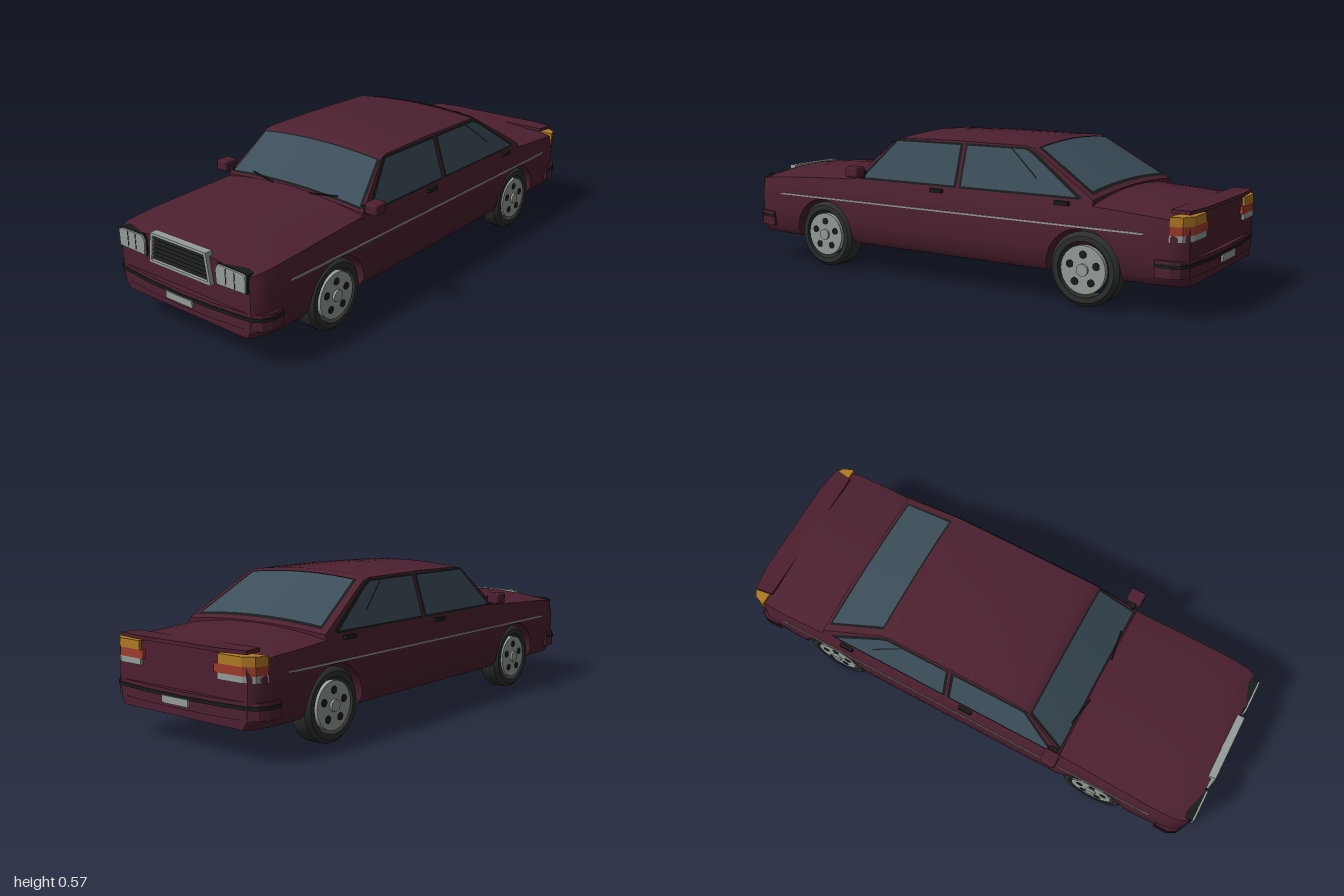
import * as THREE from 'three';
import { toCreasedNormals } from 'three/addons/utils/BufferGeometryUtils.js';
import { RoundedBoxGeometry } from 'three/addons/geometries/RoundedBoxGeometry.js';

const mat = (name, color, side = THREE.FrontSide) => {
  const m = new THREE.MeshStandardMaterial({ color, side });
  m.name = name;
  return m;
};

// Piecewise linear lookup in [[key, value], ...] with rising keys
function lerpTable(t, k) {
  if (k <= t[0][0]) return t[0][1];
  for (let i = 1; i < t.length; i++) {
    const [k0, v0] = t[i - 1], [k1, v1] = t[i];
    if (k <= k1) return v0 + (v1 - v0) * (k - k0) / (k1 - k0);
  }
  return t[t.length - 1][1];
}

// Skin over half-sections (bottom to top centre, +x side), mirrored, from front to back
function loft(stations, halfSection) {
  const rings = stations.map(z => {
    const h = halfSection(z);
    return [...h, ...h.slice().reverse().map(([x, y]) => [-x, y])].map(([x, y]) => [x, y, z]);
  });
  const n = rings[0].length, pos = [];
  const quad = (a, b, c, d) => pos.push(...a, ...b, ...c, ...a, ...c, ...d);
  for (let k = 0; k + 1 < rings.length; k++) for (let i = 0; i < n; i++) {
    const j = (i + 1) % n, A = rings[k], B = rings[k + 1];
    quad(A[i], B[i], B[j], A[j]);
  }
  const F = rings[0], R = rings[rings.length - 1];
  for (let i = 0; i + 1 < n / 2; i++) {
    quad(F[i], F[i + 1], F[n - 2 - i], F[n - 1 - i]);
    quad(R[n - 1 - i], R[n - 2 - i], R[i + 1], R[i]);
  }
  const g = new THREE.BufferGeometry();
  g.setAttribute('position', new THREE.Float32BufferAttribute(pos, 3));
  return toCreasedNormals(g, 0.5);
}

// Lower body rules
const AXLES = [0.592, -0.6], AXLE_Y = 0.134, ARCH = 0.146;
const WIDTH = [[0, 1], [0.8, 1], [0.87, 0.99], [0.925, 0.975], [0.955, 0.935], [0.974, 0.88]];
const SIDE = [[0.113, 0.333], [0.14, 0.352], [0.2, 0.359], [0.28, 0.36], [0.34, 0.35], [0.38, 0.335]];
const DECK = [[-0.974, 0.362], [-0.9, 0.373], [-0.65, 0.39], [-0.5, 0.4], [0.3, 0.41], [0.43, 0.407], [0.8, 0.388], [0.94, 0.377], [0.974, 0.366]];
function bodySection(z) {
  const w = lerpTable(WIDTH, Math.abs(z));
  let bottom = 0.113;
  for (const a of AXLES) {
    const d = Math.abs(z - a);
    if (d < ARCH + 1e-4) bottom = AXLE_Y + Math.sqrt(Math.max(0, ARCH * ARCH - d * d));
  }
  const top = lerpTable(DECK, z), shoulder = top - 0.032;
  const pts = [bottom, 0.14, 0.2, 0.28, 0.32, shoulder].map(l => {
    const y = Math.max(l, bottom);
    return [lerpTable(SIDE, y) * w, y];
  });
  const xs = pts[5][0];
  for (const f of [0.94, 0.8, 0.6, 0.3, 0]) pts.push([xs * f, shoulder + 0.032 * (1 - f * f)]);
  return pts;
}

// Cabin rules
const EDGE = [[-0.63, 0.378], [-0.37, 0.535], [-0.335, 0.545], [0, 0.548], [0.235, 0.544], [0.265, 0.535], [0.43, 0.385]];
const CROWN = 0.018;
const cabinX = y => 0.335 - 0.05 * (y - 0.385) / 0.16;
function cabinSection(z) {
  const e = lerpTable(EDGE, z), w = cabinX(e);
  const pts = [[cabinX(0.36), 0.36], [w, e]];
  for (const f of [0.96, 0.75, 0.5, 0.25, 0]) pts.push([w * f, e + CROWN * (1 - f * f)]);
  return pts;
}
const cabinTop = (x, z) => {
  const e = lerpTable(EDGE, z), f = x / cabinX(e);
  return e + CROWN * (1 - f * f);
};

// Glass sheet following the cabin's sloped ends
function screenGeometry(zA, xA, zB, xB, lift) {
  const g = new THREE.PlaneGeometry(2, 1, 10, 2), p = g.attributes.position;
  for (let i = 0; i < p.count; i++) {
    const v = p.getY(i) + 0.5;
    const z = zB + (zA - zB) * v, x = p.getX(i) * (xB + (xA - xB) * v);
    p.setXYZ(i, x, cabinTop(x, z) + lift, z);
  }
  g.computeVertexNormals();
  return g;
}

// Flat (z, y) outline laid on the leaning cabin side
function sideGeometry(outline, s, lift) {
  const g = new THREE.ShapeGeometry(new THREE.Shape(outline.map(([z, y]) => new THREE.Vector2(-s * z, y))));
  const p = g.attributes.position;
  for (let i = 0; i < p.count; i++) {
    const y = p.getY(i);
    p.setXYZ(i, s * (cabinX(y) + lift), y, -s * p.getX(i));
  }
  g.computeVertexNormals();
  return g;
}

const shapeOf = pts => new THREE.Shape(pts.map(([x, y]) => new THREE.Vector2(x, y)));
const extrude = (shape, depth) => new THREE.ExtrudeGeometry(shape, { depth, bevelEnabled: false });
// Plan outline (x, z) raised from y0 to y1
const band = (pts, y0, y1) => extrude(shapeOf(pts.map(([x, z]) => [x, -z])), y1 - y0).rotateX(-Math.PI / 2).translate(0, y0, 0);

export function createModel() {
  const paint = mat('burgundy paint', 0x4d2030), glass = mat('tinted glass', 0x3c4e5a, THREE.DoubleSide);
  const trim = mat('black trim', 0x191b1b, THREE.DoubleSide), rubber = mat('tyre rubber', 0x2d2f2f);
  const metal = mat('pale metal', 0x969e99), amber = mat('amber lens', 0xb07a24), red = mat('red lens', 0xa03c2c);
  const car = new THREE.Group();
  car.name = 'car';
  const add = (name, geo, m, parent = car) => {
    const mesh = new THREE.Mesh(geo, m);
    mesh.name = name;
    parent.add(mesh);
    return mesh;
  };
  const box = (name, m, w, h, d, x, y, z) => add(name, new THREE.BoxGeometry(w, h, d).translate(x, y, z), m);

  // Body with full-width wheel arches
  const zs = [0.974, 0.955, 0.925, 0.87, 0.8, 0.43, 0.3, 0, -0.3, -0.43, -0.8, -0.87, -0.925, -0.955, -0.974];
  for (const a of AXLES) {
    zs.push(a + ARCH + 0.0006, a - ARCH - 0.0006);
    for (let i = 0; i <= 20; i++) zs.push(a + ARCH * Math.cos(i * Math.PI / 20));
  }
  add('body', loft(zs.sort((a, b) => b - a), bodySection), paint);
  add('cabin', loft(EDGE.map(e => e[0]).reverse(), cabinSection), paint);
  add('bootLip', band([[-0.3, -0.9], [0.3, -0.9], [0.31, -0.97], [0.2, -0.985], [-0.2, -0.985], [-0.31, -0.97]], 0.355, 0.368), paint);

  // Windscreen and rear window
  add('windscreenSeal', screenGeometry(0.272, 0.288, 0.425, 0.322, 0.003), trim);
  add('windscreen', screenGeometry(0.278, 0.277, 0.42, 0.312, 0.006), glass);
  add('rearWindowSeal', screenGeometry(-0.615, 0.307, -0.372, 0.262, 0.003), trim);
  add('rearWindow', screenGeometry(-0.606, 0.297, -0.379, 0.252, 0.006), glass);

  for (const s of [1, -1]) {
    // Side windows
    add('frontWindowSeal', sideGeometry([[0.412, 0.376], [0.254, 0.541], [-0.06, 0.541], [-0.06, 0.376]], s, 0.003), trim);
    add('frontWindow', sideGeometry([[0.388, 0.385], [0.248, 0.533], [-0.05, 0.533], [-0.05, 0.385]], s, 0.006), glass);
    add('rearWindowSealSide', sideGeometry([[-0.072, 0.376], [-0.072, 0.541], [-0.343, 0.541], [-0.38, 0.523], [-0.59, 0.382], [-0.57, 0.376]], s, 0.003), trim);
    add('rearSideWindow', sideGeometry([[-0.082, 0.385], [-0.082, 0.533], [-0.335, 0.533], [-0.37, 0.516], [-0.565, 0.385]], s, 0.006), glass);
    add('quarterDivider', sideGeometry([[-0.275, 0.533], [-0.283, 0.533], [-0.4, 0.44], [-0.4, 0.433]], s, 0.008), trim);

    // Side moulding, handles and mirrors
    box('sideMoulding', metal, 0.004, 0.006, 1.66, s * 0.36, 0.286, 0);
    for (const z of [0.025, -0.515]) box('doorHandle', trim, 0.014, 0.014, 0.055, s * 0.351, 0.361, z);
    box('mirrorBracket', trim, 0.025, 0.03, 0.035, s * 0.337, 0.395, 0.4);
    add('mirror', new RoundedBoxGeometry(0.054, 0.043, 0.062, 3, 0.009).translate(s * 0.372, 0.409, 0.405), paint);

    // Wipers
    const tip = (x, y) => new THREE.Vector3(s * x, y, 0.43 - (y - 0.385 - CROWN * (1 - (x / 0.33) ** 2)) * 1.1 + 0.009);
    add('wiper', new THREE.TubeGeometry(new THREE.LineCurve3(tip(0.09, 0.405), tip(0.212, 0.416)), 1, 0.003, 6), trim);

    // Headlights
    const lamp = [[0.178, 0.278], [0.308, 0.282], [0.31, 0.342], [0.295, 0.348], [0.186, 0.349], [0.175, 0.33]];
    const grown = lamp.map(([x, y]) => [s * (0.243 + (x - 0.243) * 1.06), 0.314 + (y - 0.314) * 1.1]);
    add('headlightSurround', extrude(shapeOf(grown), 0.03).translate(0, 0, 0.95), trim);
    add('headlight', extrude(shapeOf(lamp.map(([x, y]) => [s * x, y])), 0.037).translate(0, 0, 0.95), metal);
    for (const x of [0.222, 0.262]) box('headlightDivider', rubber, 0.003, 0.058, 0.003, s * x, 0.315, 0.987);

    // Wrap-round tail lights
    for (const [name, m, y0, y1, inner] of [['reverseLight', metal, 0.266, 0.288, 0.19], ['brakeLight', red, 0.288, 0.318, 0.175], ['turnLight', amber, 0.318, 0.35, 0.195]])
      add(name, band([[inner, -0.95], [inner, -0.984], [0.3, -0.982], [0.337, -0.957], [0.353, -0.915], [0.3, -0.915]].map(([x, z]) => [s * x, z]), y0, y1), m);
  }

  // Grille
  const frame = shapeOf([[-0.152, 0.262], [0.152, 0.262], [0.136, 0.375], [-0.136, 0.375]]);
  const opening = [[-0.139, 0.273], [0.139, 0.273], [0.125, 0.365], [-0.125, 0.365]];
  frame.holes.push(shapeOf(opening));
  add('grilleFrame', extrude(frame, 0.03).translate(0, 0, 0.96), metal);
  add('grilleBack', extrude(shapeOf(opening), 0.018).translate(0, 0, 0.96), trim);
  for (let i = 0; i < 6; i++) box('grilleSlat', rubber, 0.272 - i * 0.004, 0.007, 0.008, 0, 0.281 + i * 0.0152, 0.981);

  // Bumpers and number plates
  for (const s of [1, -1]) {
    const half = [[0.361, 0.87], [0.362, 0.925], [0.345, 0.955], [0.31, 0.974], [0.16, 0.989], [0, 0.994]];
    const plan = grow => [...half, ...half.slice(0, -1).reverse().map(([x, z]) => [-x, z])]
      .map(([x, z]) => [x + Math.sign(x) * grow, s * (z + (z > 0.9 ? grow : 0))]);
    add('bumper', band(plan(0), 0.145, 0.205), paint);
    add('bumperStrip', band(plan(0.003), 0.18, 0.192), trim);
    box('numberPlate', metal, 0.13, 0.026, 0.012, 0, 0.17, s * 0.994);
  }

  // Wheels: ring tyre, inset rim with an open gap, five dark holes and a hub
  const tyreGeo = toCreasedNormals(new THREE.LatheGeometry([[0.1, -0.046], [0.119, -0.046], [0.134, -0.031], [0.134, 0.031], [0.119, 0.046], [0.1, 0.046], [0.1, -0.046]]
    .map(([r, y]) => new THREE.Vector2(r, y)), 40).rotateZ(-Math.PI / 2), 0.5);
  const disc = (r, t, x) => new THREE.CylinderGeometry(r, r, t, 28).rotateZ(Math.PI / 2).translate(x, 0, 0);
  for (const s of [1, -1]) for (const z of AXLES) {
    const wheel = new THREE.Group();
    wheel.name = 'wheel';
    wheel.position.set(s * 0.303, AXLE_Y, z);
    car.add(wheel);
    add('tyre', tyreGeo, rubber, wheel);
    add('rim', disc(0.087, 0.02, s * 0.036), metal, wheel);
    add('hub', disc(0.022, 0.016, s * 0.047), metal, wheel);
    for (let i = 0; i < 5; i++) {
      const a = i * Math.PI * 2 / 5 + Math.PI / 2;
      add('rimHole', disc(0.014, 0.004, s * 0.046).translate(0, 0.054 * Math.sin(a), 0.054 * Math.cos(a)), trim, wheel);
    }
  }
  return car;
}
